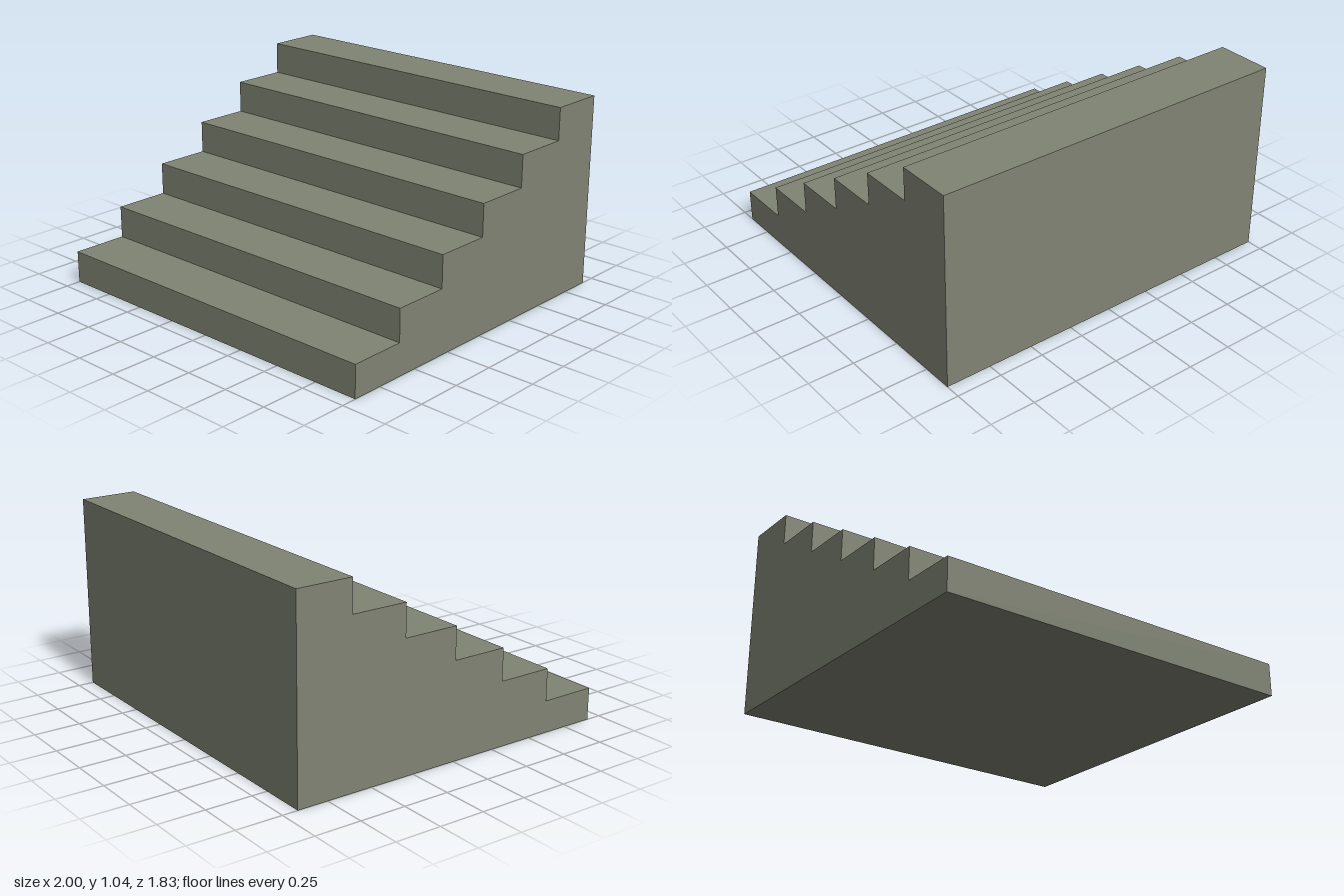
import * as THREE from 'three';

const STEPS = 6, WIDTH = 2, HEIGHT = 1.045, DEPTH = 1.834;

export function createModel() {
  const group = new THREE.Group();
  group.name = 'staircase';
  const rise = HEIGHT / STEPS, tread = DEPTH / STEPS;

  // Side profile: shape x is model z, climbing from the front to the back
  const profile = new THREE.Shape();
  profile.moveTo(-DEPTH / 2, 0);
  profile.lineTo(DEPTH / 2, 0);
  for (let i = 0; i < STEPS; i++) {
    const z = DEPTH / 2 - i * tread;
    profile.lineTo(z, (i + 1) * rise);
    profile.lineTo(z - tread, (i + 1) * rise);
  }
  profile.closePath();

  // Solid flight of steps, extruded across the width
  const geometry = new THREE.ExtrudeGeometry(profile, { depth: WIDTH, bevelEnabled: false });
  geometry.translate(0, 0, -WIDTH / 2);
  geometry.rotateY(-Math.PI / 2);

  const steps = new THREE.Mesh(geometry, new THREE.MeshStandardMaterial({ color: 0x808473 }));
  steps.name = 'steps';
  group.add(steps);
  return group;
}
